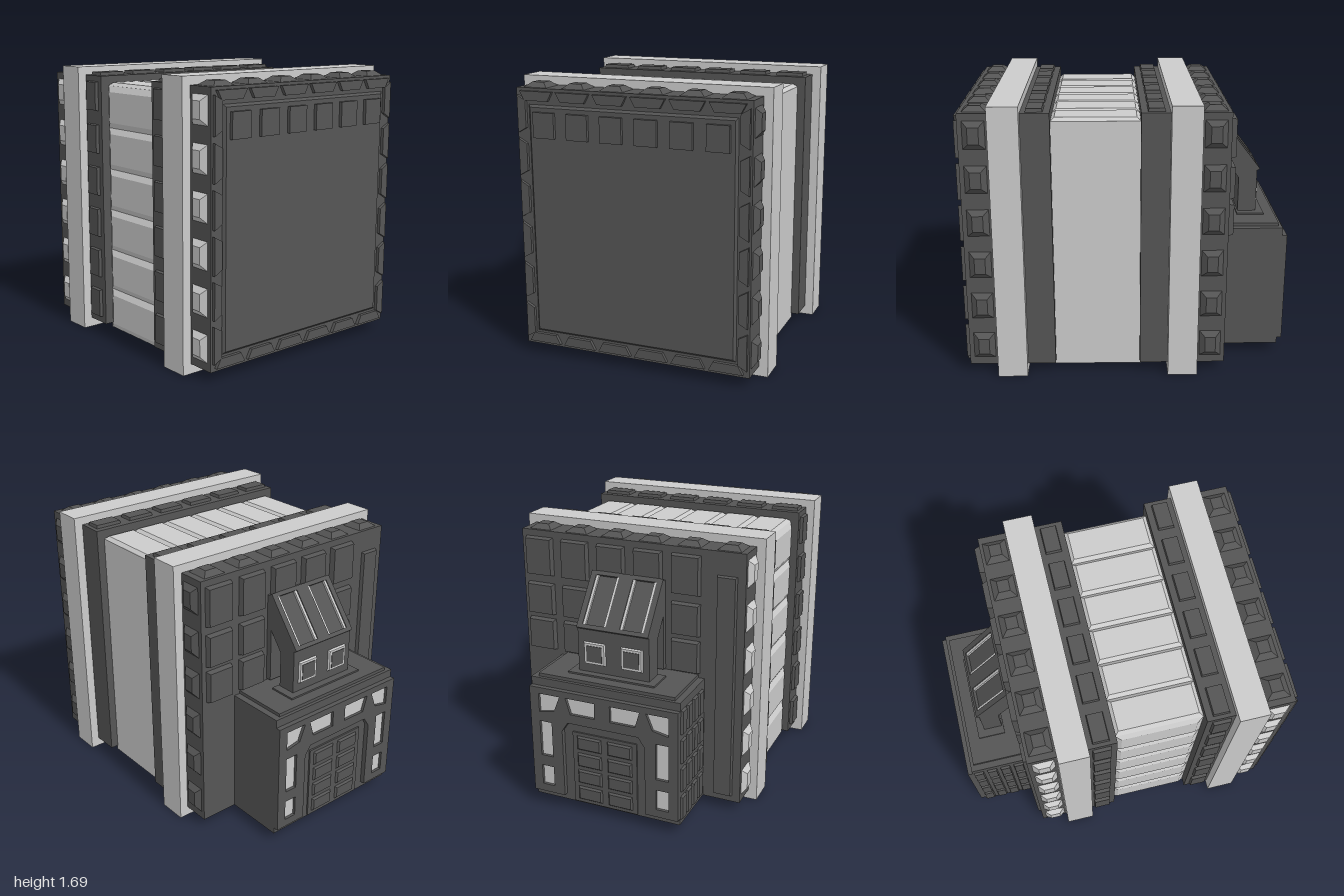
import * as THREE from 'three';

const dark = new THREE.MeshStandardMaterial({ color: 0x555555, flatShading: true });
const light = new THREE.MeshStandardMaterial({ color: 0xcccccc, flatShading: true });

// rotations that turn local +z into the named direction
const TURN = {
  '+z': [0, 0, 0], '-z': [0, Math.PI, 0], '+x': [0, Math.PI / 2, 0],
  '-x': [0, -Math.PI / 2, 0], '+y': [-Math.PI / 2, 0, 0], '-y': [Math.PI / 2, 0, 0],
};

function add(parent, name, geo, mat, pos = [0, 0, 0], dir = '+z') {
  const m = new THREE.Mesh(geo, mat);
  m.name = name;
  m.position.set(...pos);
  m.rotation.set(...TURN[dir]);
  parent.add(m);
  return m;
}

// box given by its limits
function block(parent, name, mat, x0, x1, y0, y1, z0, z1) {
  return add(parent, name, new THREE.BoxGeometry(x1 - x0, y1 - y0, z1 - z0), mat,
    [(x0 + x1) / 2, (y0 + y1) / 2, (z0 + z1) / 2]);
}

// raised panel with sloping sides, standing on a surface that faces dir
function pad(parent, name, mat, dir, pos, w, h, depth, inset = 0) {
  const g = new THREE.BoxGeometry(w, h, depth).translate(0, 0, depth / 2);
  const p = g.attributes.position;
  for (let i = 0; i < p.count; i++) {
    if (p.getZ(i) > depth / 2) {
      p.setX(i, p.getX(i) - Math.sign(p.getX(i)) * inset);
      p.setY(i, p.getY(i) - Math.sign(p.getY(i)) * inset);
    }
  }
  g.computeVertexNormals();
  return add(parent, name, g, mat, pos, dir);
}

const poly = (pts, C = THREE.Shape) => new C(pts.map(p => new THREE.Vector2(...p)));
const slab = (shape, depth) => new THREE.ExtrudeGeometry(shape, { depth, bevelEnabled: false });
const rect = (x0, x1, y0, y1) => [[x0, y0], [x1, y0], [x1, y1], [x0, y1]];

const XS = [0, 1, 2, 3, 4, 5].map(i => -0.61 + i * 0.243);
const YS = [0, 1, 2, 3, 4, 5].map(i => 0.19 + i * 0.265);

function endSection(z0, z1, name) {
  const g = new THREE.Group();
  g.name = name;
  const z = (z0 + z1) / 2;
  block(g, 'endBlock', dark, -0.72, 0.72, 0.06, 1.64, z0, z1);
  for (const x of XS) {
    pad(g, 'topStud', dark, '+y', [x, 1.64, z], 0.145, 0.14, 0.028, 0.035);
    pad(g, 'bottomStud', dark, '-y', [x, 0.06, z], 0.145, 0.14, 0.026, 0.035);
  }
  for (const y of YS) {
    pad(g, 'sideStud', dark, '+x', [0.72, y, z], 0.13, 0.165, 0.028, 0.033);
    pad(g, 'sideLamp', light, '-x', [-0.72, y, z], 0.13, 0.165, 0.028, 0.033);
  }
  return g;
}

function innerSection(z0, z1) {
  const g = new THREE.Group();
  g.name = 'innerSection';
  const z = (z0 + z1) / 2;
  block(g, 'innerBlock', dark, -0.72, 0.72, 0.06, 1.64, z0, z1);
  for (const x of XS) pad(g, 'topPanel', dark, '+y', [x, 1.64, z], 0.175, 0.1, 0.02, 0.004);
  for (const y of YS) pad(g, 'sidePanel', dark, '-x', [-0.72, y, z], 0.11, 0.18, 0.02, 0.004);
  return g;
}

function core() {
  const g = new THREE.Group();
  g.name = 'core';
  block(g, 'coreBlock', light, -0.665, 0.67, 0.03, 1.58, -0.09, 0.45);
  // shallow ribs on the top and one side
  for (let i = 0; i < 6; i++) {
    pad(g, 'topRib', light, '+y', [-0.555 + i * 0.2225, 1.58, 0.18], 0.2225, 0.52, 0.02, 0.022);
    pad(g, 'sideRib', light, '-x', [-0.665, 0.16 + i * 0.258, 0.18], 0.52, 0.258, 0.02, 0.035);
  }
  return g;
}

function frontFace() {
  const g = new THREE.Group();
  g.name = 'frontFace';
  pad(g, 'mainPanel', dark, '+z', [0, 0.847, 0.965], 1.28, 1.395, 0.015, 0.014);
  for (let i = 0; i < 6; i++) {
    block(g, 'squarePanel', dark, -0.6 + i * 0.213, -0.465 + i * 0.213, 1.355, 1.505, 0.97, 1);
  }
  // tapered plates round the rim, wide side outward
  const plate = (long, short, t) => slab(poly([[-short / 2, 0], [short / 2, 0], [long / 2, t], [-long / 2, t]]), 0.02);
  const rowPlate = plate(0.21, 0.15, 0.055), sidePlate = plate(0.22, 0.16, 0.053);
  for (const x of XS) {
    add(g, 'topRimPlate', rowPlate, dark, [x * 0.96, 1.568, 0.965]);
    add(g, 'bottomRimPlate', rowPlate, dark, [x * 0.96, 0.135, 0.965]).rotation.z = Math.PI;
  }
  for (const y of YS) {
    const yy = 0.85 + (y - 0.85) * 0.96;
    add(g, 'leftRimPlate', sidePlate, dark, [0.655, yy, 0.965]).rotation.z = -Math.PI / 2;
    add(g, 'rightRimPlate', sidePlate, dark, [-0.655, yy, 0.965]).rotation.z = Math.PI / 2;
  }
  return g;
}

function rearWall() {
  const g = new THREE.Group();
  g.name = 'rearWallPanels';
  for (const x of [0.6, 0.36, 0.12, -0.12, -0.36]) {
    [1.48, 1.21, 0.98].forEach((y, row) => {
      if (row && Math.abs(x) < 0.2) return;
      pad(g, 'wallPanel', dark, '-z', [x, y, -0.6], 0.18, row ? 0.2 : 0.24, 0.033, 0.008);
    });
  }
  pad(g, 'tallPanel', dark, '-z', [-0.61, 0.8, -0.6], 0.12, 1.4, 0.022, 0.006);
  block(g, 'ductBacking', dark, -0.23, 0.23, 0.88, 1.4, -0.635, -0.59);
  return g;
}

function entrance() {
  const g = new THREE.Group();
  g.name = 'entrance';
  block(g, 'entranceBox', dark, -0.48, 0.48, 0.06, 0.85, -0.97, -0.59);
  block(g, 'roofPlate', dark, -0.44, 0.44, 0.85, 0.87, -0.95, -0.59);
  // facade with a doorway and window openings
  const facade = poly([[-0.48, 0.1], [-0.27, 0.1], [-0.27, 0.54], [-0.23, 0.6], [0.23, 0.6], [0.27, 0.54],
    [0.27, 0.1], [0.48, 0.1], [0.48, 0.8], [-0.48, 0.8]]);
  const windows = [];
  for (const s of [-1, 1]) {
    windows.push([[0.32, 0.66], [0.42, 0.64], [0.42, 0.76], [0.28, 0.76]].map(([x, y]) => [s * x, y]));
    windows.push([[0.05, 0.66], [0.21, 0.66], [0.24, 0.76], [0.05, 0.76]].map(([x, y]) => [s * x, y]));
    windows.push(rect(s * 0.34, s * 0.42, 0.35, 0.58), rect(s * 0.34, s * 0.42, 0.15, 0.28));
  }
  for (const w of windows) {
    facade.holes.push(poly(w, THREE.Path));
    add(g, 'windowPane', slab(poly(w), 0.012), light, [0, 0, -0.97], '-z');
  }
  add(g, 'facade', slab(facade, 0.03), dark, [0, 0, -0.97], '-z');
  // double door
  block(g, 'door', dark, -0.21, 0.21, 0.07, 0.54, -0.98, -0.97);
  for (const x of [-0.1, 0.1]) {
    for (let r = 0; r < 4; r++) pad(g, 'doorPanel', dark, '-z', [x, 0.135 + r * 0.113, -0.98], 0.16, 0.09, 0.012, 0.01);
  }
  // panels on one side
  for (let c = 0; c < 4; c++) {
    for (let r = 0; r < 4; r++) {
      pad(g, 'sidePanel', dark, '-x', [-0.48, 0.17 + r * 0.185, -0.67 - c * 0.087], 0.065, 0.15, 0.015, 0.005);
    }
  }
  return g;
}

function duct() {
  const g = new THREE.Group();
  g.name = 'roofDuct';
  const elbow = poly([[0.6, 1.26], [0.72, 1.1], [0.72, 0.86], [0.835, 0.86], [0.835, 1.15], [0.62, 1.43], [0.6, 1.43]]);
  const geo = slab(elbow, 0.46).rotateY(Math.PI / 2).translate(-0.23, 0, 0);
  add(g, 'elbow', geo, dark);
  block(g, 'ductFoot', dark, -0.28, 0.28, 0.865, 0.88, -0.88, -0.71);
  // sloping frame with two channels edged in light strips
  const frame = poly(rect(-0.23, 0.23, -0.18, 0.18));
  const slope = new THREE.Group();
  slope.name = 'slopingGrille';
  slope.position.set(0, 1.29, -0.7275);
  slope.rotation.x = -(Math.PI - Math.atan2(0.215, 0.28));
  slope.rotation.x = -(Math.PI - Math.atan2(0.215, 0.28));
  for (const x of [-0.12, 0.12]) {
    frame.holes.push(poly(rect(x - 0.075, x + 0.075, -0.155, 0.155), THREE.Path));
    for (const s of [-1, 1]) block(slope, 'lightStrip', light, x + s * 0.067 - 0.008, x + s * 0.067 + 0.008, -0.155, 0.155, 0, 0.014);
    // framed windows on the upright part
    pad(g, 'windowFrame', light, '-z', [x, 1.0, -0.835], 0.14, 0.14, 0.012, 0.006);
    pad(g, 'windowCentre', dark, '-z', [x, 1.0, -0.845], 0.1, 0.1, 0.005);
  }
  add(slope, 'grilleFrame', slab(frame, 0.02), dark);
  g.add(slope);
  return g;
}

export function createModel() {
  const model = new THREE.Group();
  model.name = 'bandedBuilding';
  model.add(endSection(0.78, 0.965, 'frontSection'), endSection(-0.6, -0.42, 'rearSection'));
  model.add(innerSection(0.44, 0.62), innerSection(-0.26, -0.08));
  block(model, 'frontBand', light, -0.775, 0.775, 0, 1.69, 0.61, 0.79);
  block(model, 'rearBand', light, -0.775, 0.775, 0, 1.69, -0.43, -0.25);
  model.add(core(), frontFace(), rearWall(), entrance(), duct());
  return model;
}
